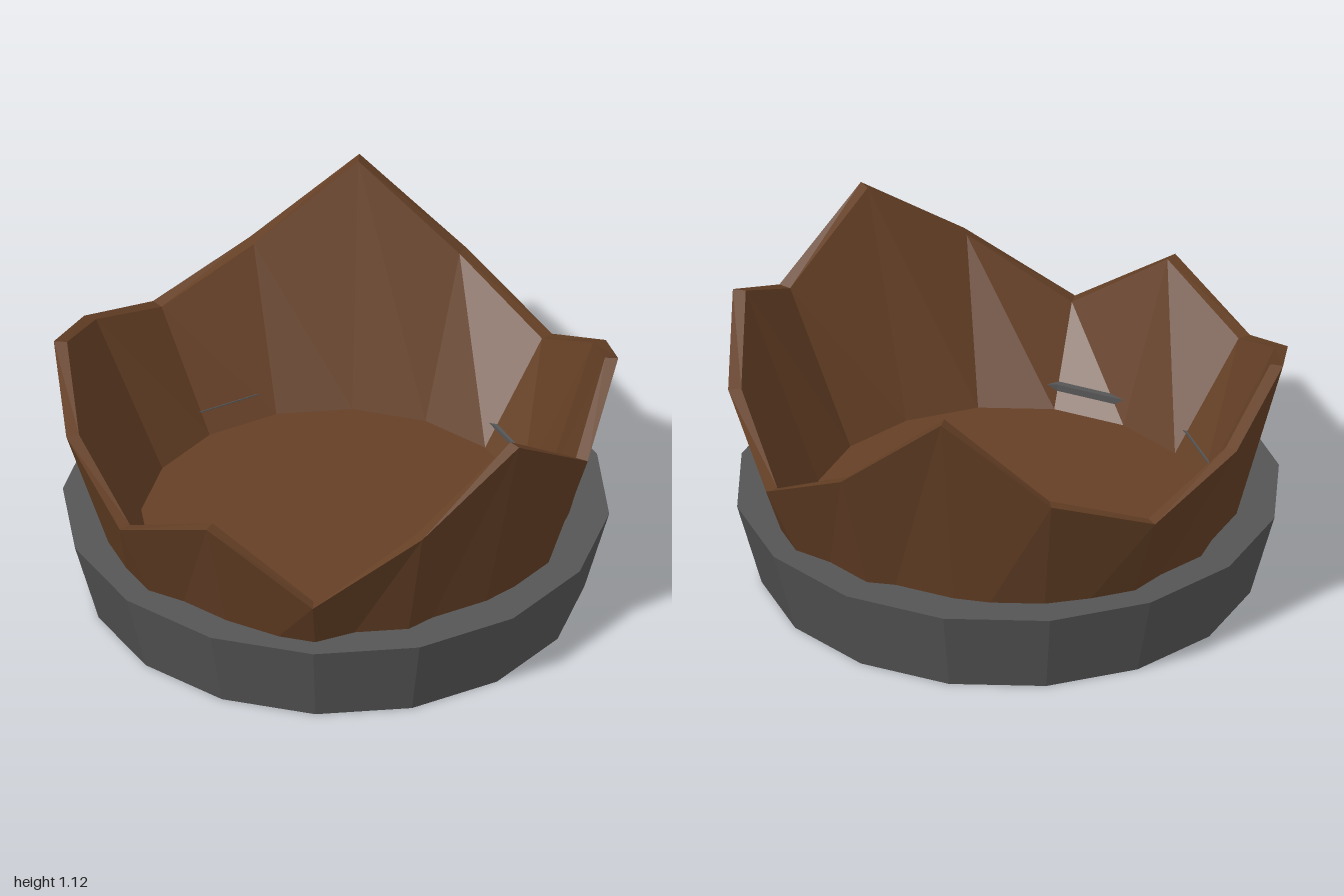
import * as THREE from 'three';

const SIDES = 16;
const brown = new THREE.MeshStandardMaterial({ color: 0x643f25, flatShading: true });
brown.name = 'darkWood';
const grey = new THREE.MeshStandardMaterial({ color: 0x555555, flatShading: true });
grey.name = 'ironGrey';

// Heights of the broken rim, one every 45 degrees from the front towards +x;
// the corners between them are all at the same height.
const PEAKS = [0.53, 1.06, 0.98, 0.59, 1.12, 0.65, 0.94, 0.63];
const BETWEEN = 0.795;

function addMesh(group, name, geometry, material) {
  const mesh = new THREE.Mesh(geometry, material);
  mesh.name = name;
  group.add(mesh);
  return mesh;
}

// Wall of staves: outer face, flat rim and inner face, lofted around the axis
function stavesGeometry() {
  const positions = [];
  const indices = [];
  for (let i = 0; i < SIDES; i++) {
    const angle = (i / SIDES) * Math.PI * 2;
    const top = i % 2 ? BETWEEN : PEAKS[i / 2];
    const section = [[0.76, 0.055], [1, top], [0.953, top], [0.69, 0.24]];
    for (const [r, y] of section) positions.push(r * Math.sin(angle), y, r * Math.cos(angle));
  }
  for (let i = 0; i < SIDES; i++) {
    for (let j = 0; j < 3; j++) {
      const a = i * 4 + j;
      const b = ((i + 1) % SIDES) * 4 + j;
      // The inner face is split along the same diagonal as the outer face
      if (j === 2) indices.push(a, b, a + 1, b, b + 1, a + 1);
      else indices.push(a, b, b + 1, a, b + 1, a + 1);
    }
  }
  const geometry = new THREE.BufferGeometry();
  geometry.setAttribute('position', new THREE.Float32BufferAttribute(positions, 3));
  geometry.setIndex(indices);
  const flat = geometry.toNonIndexed();
  flat.computeVertexNormals();
  return flat;
}

export function createModel() {
  const model = new THREE.Group();
  model.name = 'brokenBarrel';

  addMesh(model, 'staves', stavesGeometry(), brown);

  // Thick floor, recessed from the ground
  const floor = addMesh(model, 'floor', new THREE.CylinderGeometry(0.69, 0.76, 0.185, SIDES), brown);
  floor.position.y = 0.055 + 0.185 / 2;

  // Flared metal hoop with a closed rectangular section
  const profile = [[0.735, 0], [0.88, 0], [0.968, 0.315], [0.735, 0.315], [0.735, 0]]
    .map(([r, y]) => new THREE.Vector2(r, y));
  addMesh(model, 'hoop', new THREE.LatheGeometry(profile, SIDES), grey);

  return model;
}
